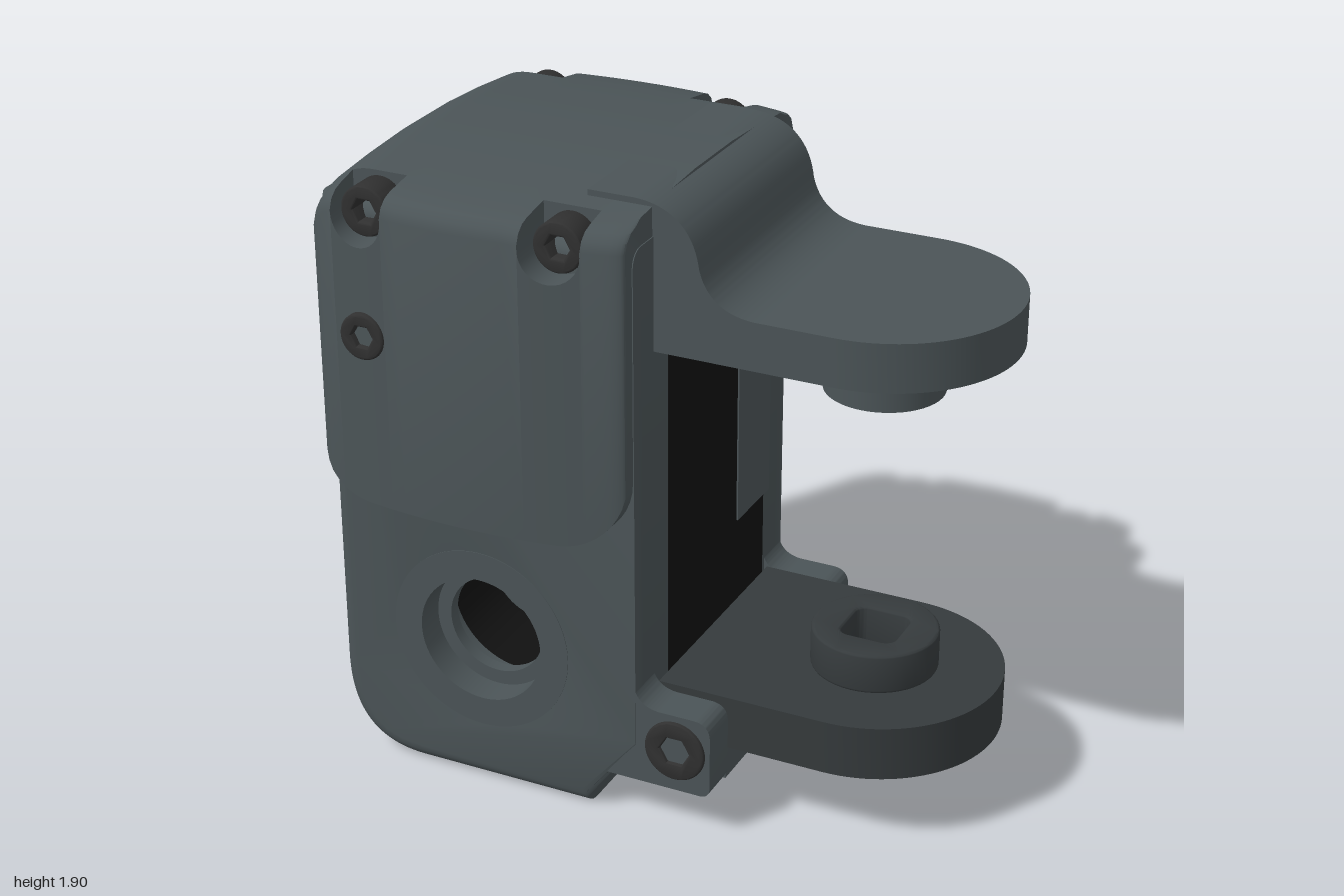
import * as THREE from 'three';
import { toCreasedNormals } from 'three/addons/utils/BufferGeometryUtils.js';

const mat = (color) => new THREE.MeshStandardMaterial({ color });
const V = (x, y) => new THREE.Vector2(x, y);

export function createModel() {
  const shell = mat(0x4b5457), dark = mat(0x353a3c), black = mat(0x111111), steel = mat(0x303030);
  const body = new THREE.Group();
  body.name = 'hingeHousing';
  const add = (name, geo, material = shell) => {
    const mesh = new THREE.Mesh(toCreasedNormals(geo, 0.6), material);
    mesh.name = name;
    body.add(mesh);
    return mesh;
  };
  const box = (name, x0, x1, y0, y1, z0, z1, m) => add(name,
    new THREE.BoxGeometry(x1 - x0, y1 - y0, z1 - z0).translate((x0 + x1) / 2, (y0 + y1) / 2, (z0 + z1) / 2), m);

  // Extrude a (z, y) profile across x, or an (x, z) plan up y, with an optional bevel
  const extrude = (shape, d, bevel, steps = 24) => new THREE.ExtrudeGeometry(shape, {
    depth: d - 2 * bevel, bevelEnabled: bevel > 0, bevelThickness: bevel, bevelSize: bevel,
    bevelOffset: -bevel, bevelSegments: 5, curveSegments: steps });
  const across = (shape, x0, x1, bevel = 0) =>
    extrude(shape, x1 - x0, bevel).rotateY(-Math.PI / 2).translate(x1 - bevel, 0, 0);
  const upward = (shape, y0, y1, bevel = 0) =>
    extrude(shape, y1 - y0, bevel).rotateX(Math.PI / 2).translate(0, y1 - bevel, 0);
  const circle = (x, y, r) => new THREE.Shape().absarc(x, y, r, 0, Math.PI * 2);

  // Side outline: chamfered front foot, large rounded rear foot
  const sideOutline = (front, back, bottom, top) => {
    const s = new THREE.Shape();
    s.moveTo(-0.06, bottom);
    s.lineTo(front, front + 0.06 + bottom);
    s.lineTo(front, top);
    s.lineTo(back, top);
    s.lineTo(back, 0.3);
    s.quadraticCurveTo(back, bottom, -0.63, bottom);
    return s;
  };

  // Black hollow sleeve between the side plates
  const sleeve = sideOutline(0.1, -0.905, 0.004, 1.66);
  sleeve.holes.push(sideOutline(0.05, -0.855, 0.05, 1.61));
  add('sleeve', across(sleeve, -0.3, 0.37), black);

  // Side plates with bores, flat at the front and rounded elsewhere
  const ZC = -0.41, YC = 0.48;
  const plate = (name, x0, x1, r) => {
    const s = sideOutline(0.18, -0.895, 0, 1.8);
    s.holes.push(circle(ZC, YC, r));
    const g = across(s, x0, x1, 0.05), p = g.attributes.position;
    for (let i = 0; i < p.count; i++) p.setZ(i, Math.min(p.getZ(i), 0.098));
    add(name, g);
  };
  plate('rightPlate', 0.32, 0.515, 0.33);
  plate('leftPlate', -0.515, -0.27, 0.24);

  // Stepped rings lining the bores
  const boreRing = (name, side, pts) => add(name,
    new THREE.LatheGeometry(pts.map(([r, u]) => V(r, u)), 64).rotateZ(-side * Math.PI / 2).translate(0, YC, ZC));
  boreRing('rightBore', 1, [[0.385, 0.37], [0.385, 0.517], [0.34, 0.517], [0.34, 0.48],
    [0.32, 0.48], [0.32, 0.37], [0.385, 0.37]]);
  boreRing('leftBore', -1, [[0.29, 0.27], [0.29, 0.517], [0.2, 0.517], [0.2, 0.42], [0.155, 0.42],
    [0.155, 0.38], [0.23, 0.38], [0.23, 0.27], [0.29, 0.27]]);

  // Locking tabs on the front and the back of the sleeve
  box('frontTab', 0.17, 0.4, 0.67, 1.2, 0.06, 0.105);
  box('backTab', 0.17, 0.4, 0.67, 1.2, -0.912, -0.86);

  // Bulging cover, lofted from back to front with screw pockets in its top edges
  const BACK = -0.91, FRONT = 0.095, PR = 0.088, screwZ = [-0.715, -0.11];
  const round = (e, r) => (e < r ? r * (1 - Math.sqrt(1 - (1 - e / r) ** 2)) : 0);
  const stations = [];
  const inPocket = (z) => screwZ.some((p) => Math.abs(z - p) <= PR);
  for (let k = 0; k <= 10; k++) {
    const e = 0.2 * (1 - Math.cos((k / 10) * Math.PI / 2));
    stations.push({ z: BACK + e }, { z: FRONT - e }, { z: -0.69 + k * 0.055 });
  }
  const list = stations.filter((s) => !inPocket(s.z));
  for (const p of screwZ) {
    list.push({ z: p - PR });
    for (let k = -8; k <= 8; k++) {
      const a = Math.sin((k / 8) * Math.PI / 2);
      list.push({ z: p + PR * a, floor: 1.79 - PR * Math.sqrt(Math.max(0, 1 - a * a)) });
    }
    list.push({ z: p + PR });
  }
  list.sort((a, b) => a.z - b.z);
  const section = ({ z, floor }) => {
    const s = (z + 0.405) / 0.5;
    const w = 0.565 + 0.065 * (1 - s * s) - round(z - BACK, 0.08) - 0.3 * round(FRONT - z, 0.04);
    const t = 1.905 - round(z - BACK, 0.17);
    const b = 0.91 + round(Math.min(z - BACK, FRONT - z), 0.2);
    const edge = floor
      ? [[w, floor], [0.46, floor], [0.46, floor], [0.46, floor]]
      : [[w, t - 0.1], [w - 0.012, t - 0.07], [w - 0.035, t - 0.05], [w - 0.065, t - 0.04]];
    const half = [[w, b], ...edge, [0.46, t - 0.025], [0.3, t - 0.01], [0.12, t]];
    return [...half, ...half.map(([x, y]) => [-x, y]).reverse()];
  };
  const pos = [], idx = [];
  list.forEach((s) => section(s).forEach(([x, y]) => pos.push(x, y, s.z)));
  const n = section(list[0]).length, last = (list.length - 1) * n, c0 = list.length * n;
  pos.push(0, 1.4, BACK, 0, 1.4, FRONT);
  for (let j = 0; j < n; j++) {
    const k = (j + 1) % n;
    for (let r = 0; r < last; r += n) idx.push(r + j, r + k, r + n + k, r + j, r + n + k, r + n + j);
    idx.push(c0, k, j, c0 + 1, last + j, last + k);
  }
  const cover = new THREE.BufferGeometry();
  cover.setAttribute('position', new THREE.Float32BufferAttribute(pos, 3));
  cover.setIndex(idx);
  add('cover', cover);

  // Upper arm sweeping from the cover into the upper tongue
  const arm = new THREE.Shape();
  arm.moveTo(-0.1, 1.46);
  arm.lineTo(0.45, 1.46);
  arm.lineTo(0.45, 1.605);
  arm.lineTo(0.4, 1.605);
  arm.bezierCurveTo(0.29, 1.61, 0.25, 1.67, 0.235, 1.73);
  arm.bezierCurveTo(0.22, 1.84, 0.15, 1.9, 0.04, 1.904);
  arm.lineTo(-0.1, 1.904);
  add('upperArm', across(arm, -0.39, 0.39));

  // Tongues with round ends, carrying facing pivot bosses
  const TZ = 0.631;
  const tongue = (w, z0, hole) => {
    const s = new THREE.Shape();
    s.moveTo(-w, z0);
    s.lineTo(-w, TZ);
    s.absarc(0, TZ, w, Math.PI, 0, true);
    s.lineTo(w, z0);
    if (hole) s.holes.push(circle(0, TZ, hole));
    return s;
  };
  add('upperTongue', upward(tongue(0.39, 0.4), 1.46, 1.605));
  add('upperFlange', upward(circle(0, TZ, 0.23), 1.447, 1.465));
  const upperBoss = circle(0, TZ, 0.175);
  upperBoss.holes.push(circle(0, TZ, 0.135));
  add('upperBoss', upward(upperBoss, 1.3, 1.45));

  add('lowerTongue', upward(tongue(0.385, 0.11, 0.14), 0.237, 0.405), dark);
  const lowerBoss = circle(0, TZ, 0.19), q = 0.085, sq = new THREE.Path();
  [[q, q], [-q, q], [-q, -q], [q, -q]].forEach(([x, z], i) => {
    const a = i * Math.PI / 2;
    sq.absarc(x * 0.6, TZ + z * 0.6, q * 0.4, a, a + Math.PI / 2);
  });
  lowerBoss.holes.push(sq);
  add('lowerBoss', upward(lowerBoss, 0.4, 0.527, 0.012), dark);

  // Socket-head screw lying along x, head facing outward
  const screw = (name, side, x0, x1, y, z, r) => {
    const head = circle(z, y, r), hex = [];
    for (let i = 0; i < 6; i++) hex.push(V(z + 0.5 * r * Math.cos(i * Math.PI / 3), y + 0.5 * r * Math.sin(i * Math.PI / 3)));
    head.holes.push(new THREE.Path(hex));
    const span = (a, b) => (side > 0 ? [a, b] : [-b, -a]);
    add(name, across(head, ...span(x0, x1), 0.008), steel);
    add(name + 'Core', across(circle(z, y, r * 0.8), ...span(x0 - 0.01, x0 + 0.03)), steel);
  };

  // Mirrored lugs and screws
  for (const side of [1, -1]) {
    const lug = new THREE.Shape();
    lug.moveTo(-0.02, 0.135);
    lug.lineTo(0.3, 0.135);
    lug.quadraticCurveTo(0.335, 0.135, 0.335, 0.17);
    lug.lineTo(0.335, 0.33);
    lug.quadraticCurveTo(0.335, 0.385, 0.28, 0.385);
    lug.lineTo(0.17, 0.385);
    lug.quadraticCurveTo(0.1, 0.39, 0.09, 0.46);
    lug.lineTo(-0.02, 0.46);
    const x = side > 0 ? [0.39, 0.513] : [-0.513, -0.39];
    add('lug', across(lug, ...x));
    screw('lugScrew', side, 0.45, 0.525, 0.27, 0.225, 0.095);
    for (const z of screwZ) screw('coverScrew', side, 0.45, 0.555, 1.79, z, 0.075);
  }
  screw('sideScrew', -1, 0.54, 0.625, 1.44, -0.7, 0.07);

  // Bar joining the lugs below the lower tongue
  box('lugBar', -0.4, 0.4, 0.14, 0.236, 0.14, 0.333);

  // The whole body stands slightly turned
  body.position.x = 0.066;
  const model = new THREE.Group();
  const turned = new THREE.Group();
  turned.name = 'turnedBody';
  turned.rotation.y = THREE.MathUtils.degToRad(10);
  turned.add(body);
  model.add(turned);
  return model;
}
